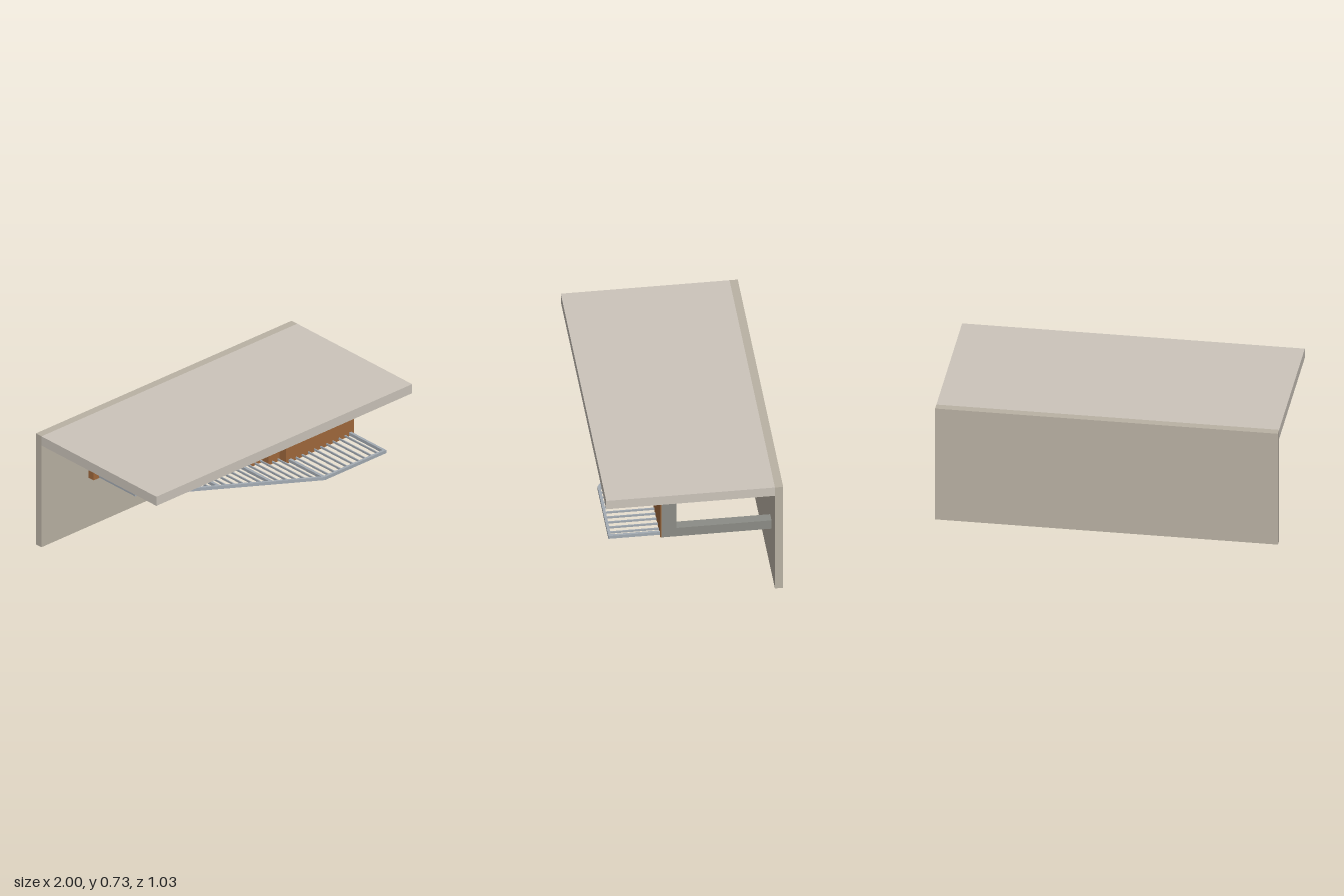
import * as THREE from 'three';

const mat = (color) => new THREE.MeshStandardMaterial({ color, flatShading: true });
const roofMat = mat(0xcbc4ba), wallMat = mat(0xb9b1a3), bodyMat = mat(0x8b8c86);
const woodMat = mat(0xa0693c), metalMat = mat(0xa3abb3);

// Stepped front: eleven equal steps receding towards -x
const STEPS = 11, STEP_X = 0.0864, STEP_Z = 0.055;
const FRONT = 0.18, BACK = -0.467, RIGHT = 0.85, START = 0.32, LEFT = START - STEPS * STEP_X;
const LOW = 0.32, HIGH = 0.67, SKIN = 0.006;
const stepZ = (x) => FRONT - STEP_Z * Math.min(STEPS, Math.max(0, Math.ceil((START - x) / STEP_X - 1e-6)));

function add(group, name, geometry, material) {
  const mesh = new THREE.Mesh(geometry, material);
  mesh.name = name;
  group.add(mesh);
  return mesh;
}

// Box given by its limits on each axis
function box(group, name, [x0, x1], [y0, y1], [z0, z1], material) {
  const g = new THREE.BoxGeometry(x1 - x0, y1 - y0, z1 - z0);
  g.translate((x0 + x1) / 2, (y0 + y1) / 2, (z0 + z1) / 2);
  return add(group, name, g, material);
}

// Upright prism from a plan outline of [x, z] points
function plan(group, name, points, y0, y1, material) {
  const shape = new THREE.Shape(points.map(([x, z]) => new THREE.Vector2(x, -z)));
  const g = new THREE.ExtrudeGeometry(shape, { depth: y1 - y0, bevelEnabled: false });
  g.rotateX(-Math.PI / 2).translate(0, y0, 0);
  return add(group, name, g, material);
}

// Stepped line from right to left, shifted by dx and dz
function stepLine(dx, dz) {
  const pts = [[RIGHT, FRONT + dz]];
  for (let i = 0; i < STEPS; i++) {
    const x = START - i * STEP_X + dx;
    pts.push([x, FRONT - i * STEP_Z + dz], [x, FRONT - (i + 1) * STEP_Z + dz]);
  }
  pts.push([LEFT + dx, FRONT - STEPS * STEP_Z + dz]);
  return pts;
}

function makeBody() {
  const body = new THREE.Group();
  body.name = 'steppedBody';
  // Solid part plus the front wall of the open bay
  plan(body, 'bodyCore', [...stepLine(SKIN, -SKIN), [LEFT + SKIN, BACK], [0.415, BACK],
    [0.415, 0.085], [RIGHT, 0.085]], LOW, HIGH, bodyMat);
  // Wooden skin following the steps
  plan(body, 'woodCladding', [...stepLine(0, 0), [LEFT, BACK], [LEFT + SKIN, BACK],
    ...stepLine(SKIN, -SKIN).reverse()], LOW, HIGH, woodMat);
  // Side frame: upper and lower bars running back to the wall
  box(body, 'lowerBar', [RIGHT - 0.06, RIGHT], [LOW, 0.38], [BACK, 0.085], bodyMat);
  box(body, 'upperBar', [RIGHT - 0.06, RIGHT], [0.605, HIGH], [BACK, 0.085], bodyMat);
  return body;
}

function makeGrille() {
  const grille = new THREE.Group();
  grille.name = 'grille';
  const x0 = -0.59, x1 = 0.83, bend = 0.35, front = 0.48, slope = 0.635, rail = 0.016;
  const edge = (x) => front - Math.max(0, bend - x) * slope;
  // Outer rail with its bend
  plan(grille, 'frontRail', [[x1, front], [bend, front], [x0, edge(x0)], [x0, edge(x0) - rail * 1.2],
    [bend, front - rail], [x1, front - rail]], 0.325, 0.345, metalMat);
  // Bars run from the stepped front out to the rail
  const bar = (name, x, w, y0, y1) => {
    box(grille, name, [x - w / 2, x + w / 2], [y0, y1],
      [stepZ(x + w / 2), edge(x - w / 2) - rail / 2], metalMat);
  };
  bar('endRail', x1 - rail / 2, rail, 0.325, 0.345);
  bar('endRail', x0 + rail / 2, rail, 0.325, 0.345);
  for (let i = 0; i < 4; i++) bar('crossBeam', bend - i * 3 * STEP_X, 0.018, 0.326, 0.344);
  for (let i = 1; i < 10; i++) bar('slat', bend + i * 0.048, 0.007, 0.328, 0.34);
  for (let i = 1; i < 21; i++) if (i % 6) bar('slat', bend - i * STEP_X / 2, 0.007, 0.328, 0.34);
  return grille;
}

export function createModel() {
  const model = new THREE.Group();
  model.name = 'canopyBlock';
  box(model, 'roofSlab', [-1, 1], [HIGH, 0.73], [BACK, 0.515], roofMat);
  box(model, 'backWall', [-1, 1], [0, 0.73], [-0.515, BACK], wallMat);
  model.add(makeBody(), makeGrille());
  return model;
}
